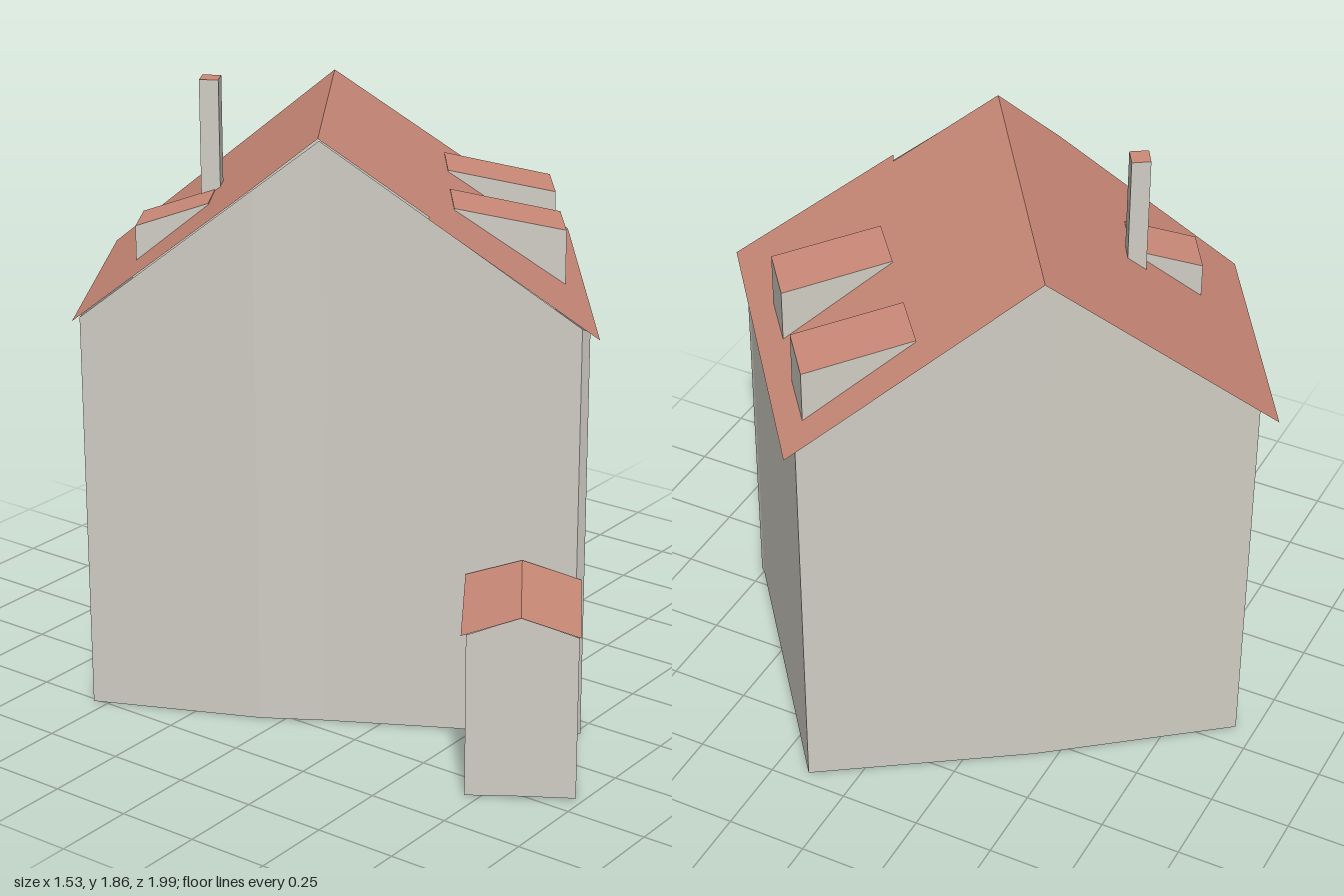
import * as THREE from 'three';

const wallMat = new THREE.MeshStandardMaterial({ color: 0xd0cdc4, side: THREE.DoubleSide });
wallMat.name = 'grey plaster';
const roofMat = new THREE.MeshStandardMaterial({ color: 0xcd8b79, side: THREE.DoubleSide });
roofMat.name = 'red tile';

// Ridge ends in plan [x, z]; the ridge sinks slightly towards the second
const A = [-0.455, 0.095], B = [0.333, -0.444];
const ridgeLength = Math.hypot(B[0] - A[0], B[1] - A[1]);
const ux = (B[0] - A[0]) / ridgeLength, uz = (B[1] - A[1]) / ridgeLength;

// Height of the main roof above a plan point
function roofY(x, z) {
  const dx = x - A[0], dz = z - A[1];
  const along = dx * ux + dz * uz;
  const across = -dx * uz + dz * ux;
  return 1.8 - 0.0367 * along - (across > 0 ? 0.7 * across : -0.8 * across);
}

function named(geometry, material, name) {
  const mesh = new THREE.Mesh(geometry, material);
  mesh.name = name;
  return mesh;
}

// Vertical walls around a plan outline (counter-clockwise from above)
function walls(plan, bottom, top, name) {
  const pos = [];
  plan.forEach((p, i) => {
    const q = plan[(i + 1) % plan.length];
    const a = [p[0], bottom(...p), p[1]], b = [q[0], bottom(...q), q[1]];
    const c = [q[0], top(...q), q[1]], d = [p[0], top(...p), p[1]];
    pos.push(...a, ...b, ...c, ...a, ...c, ...d);
  });
  const g = new THREE.BufferGeometry();
  g.setAttribute('position', new THREE.Float32BufferAttribute(pos, 3));
  g.computeVertexNormals();
  return named(g, wallMat, name);
}

// Flat sheet over a plan outline, lifted to a height rule
function sheet(plan, height, material, name) {
  const shape = new THREE.Shape(plan.map(([x, z]) => new THREE.Vector2(x, -z)));
  const g = new THREE.ShapeGeometry(shape).rotateX(-Math.PI / 2);
  const p = g.attributes.position;
  for (let i = 0; i < p.count; i++) p.setY(i, height(p.getX(i), p.getZ(i)));
  g.computeVertexNormals();
  return named(g, material, name);
}

// Shed dormer: outer two plan corners first, then the two that meet the roof
function dormer(plan, faceTop, name) {
  const group = new THREE.Group();
  group.name = name;
  const top = (x, z) => {
    const outer = plan.slice(0, 2).some(([px, pz]) => Math.hypot(px - x, pz - z) < 0.001);
    return outer ? faceTop : roofY(x, z) + 0.004;
  };
  group.add(walls(plan, (x, z) => roofY(x, z) - 0.005, top, name + 'Walls'));
  group.add(sheet(plan, top, roofMat, name + 'Roof'));
  return group;
}

export function createModel() {
  const model = new THREE.Group();
  model.name = 'house';
  const at = (y) => () => y;

  // Main walls, following the roof, with a small corner pier at the front left
  const plan = [
    [0.71, 0.144], [0.318, -0.434], [-0.08, -0.94], [-0.762, -0.545],
    [-0.552, -0.065], [-0.453, 0.098], [-0.267, 0.44], [-0.104, 0.76],
    [-0.07, 0.765], [-0.055, 0.748], [0.002, 0.703],
  ];
  model.add(walls(plan, at(0), (x, z) => roofY(x, z) - 0.004, 'houseWalls'));
  model.add(sheet([...plan].reverse(), at(0), wallMat, 'houseFloor'));

  // Main roof slopes
  model.add(sheet([A, [-0.296, 0.365], [-0.323, 0.381], [-0.08, 0.804], [0.767, 0.148], B],
    roofY, roofMat, 'frontRoof'));
  model.add(sheet([A, B, [-0.08, -1], [-0.767, -0.571], [-0.552, -0.065]],
    roofY, roofMat, 'backRoof'));

  // Two front dormers and one at the back
  const front = [[0.164, 0.529], [0.317, 0.407], [0.116, 0.148], [-0.037, 0.27]];
  [0, 1].forEach((i) => {
    const moved = front.map(([x, z]) => [x + 0.32 * i, z - 0.247 * i]);
    model.add(dormer(moved, 1.46, 'frontDormer' + (i + 1)));
  });
  model.add(dormer([[-0.386, -0.616], [-0.519, -0.534], [-0.4, -0.354], [-0.267, -0.436]],
    1.45, 'backDormer'));

  // Chimney with a tiled top
  const chimney = [[-0.265, -0.418], [-0.212, -0.45], [-0.243, -0.497], [-0.296, -0.466]];
  model.add(walls(chimney, (x, z) => roofY(x, z) - 0.02, at(1.855), 'chimney'));
  model.add(sheet(chimney, at(1.855), roofMat, 'chimneyTop'));

  // Low entrance annex with its own small gable roof
  const r0 = [-0.524, 0.847], r1 = [-0.185, 0.624];
  const onRidge = (x, z) => Math.abs((x - r0[0]) * 0.55 + (z - r0[1]) * 0.835) < 0.01;
  const annexY = (x, z) => (onRidge(x, z) ? 0.563 : 0.507);
  const annex = [[-0.432, 0.982], [-0.106, 0.764], [-0.26, 0.485], [-0.602, 0.715], [-0.517, 0.843]];
  model.add(walls(annex, at(0.006), (x, z) => annexY(x, z) - 0.002, 'annexWalls'));
  model.add(sheet([...annex].reverse(), at(0.006), wallMat, 'annexFloor'));
  model.add(sheet([r0, [-0.434, 0.989], [-0.095, 0.772], r1], annexY, roofMat, 'annexRoofRight'));
  model.add(sheet([[-0.619, 0.709], r0, r1, [-0.26, 0.476]], annexY, roofMat, 'annexRoofLeft'));

  return model;
}
